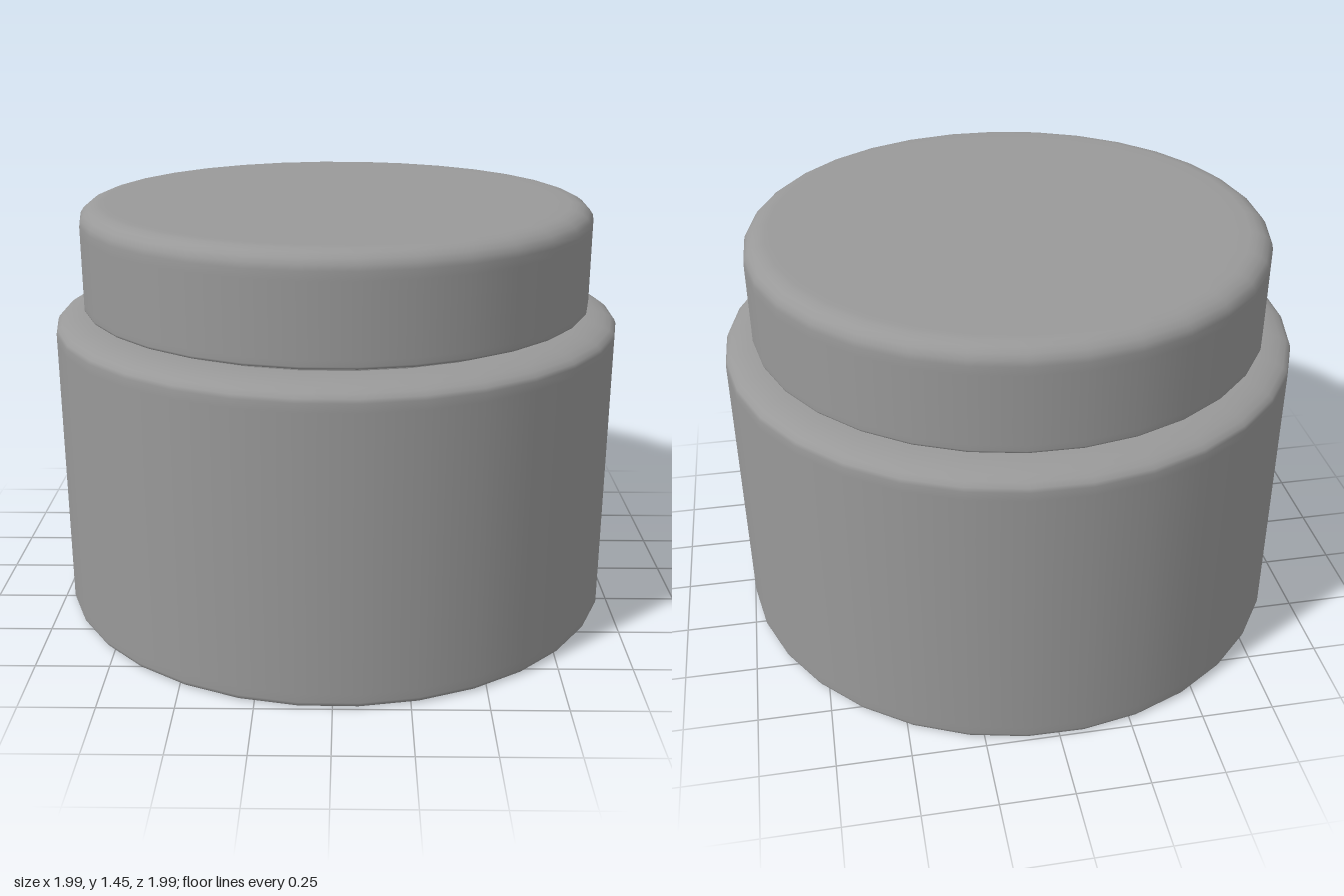
import * as THREE from 'three';

const SIDES = 32;
const PHASE = THREE.MathUtils.degToRad(4.85);

// Points of an elliptical corner around (cx, cy), from angle a0 to a1 in degrees
function corner(cx, cy, rx, ry, a0, a1, steps) {
  const points = [];
  for (let i = 0; i <= steps; i++) {
    const a = THREE.MathUtils.degToRad(a0 + ((a1 - a0) * i) / steps);
    points.push([cx + rx * Math.cos(a), cy + ry * Math.sin(a)]);
  }
  return points;
}

// Turned part: profile runs from the bottom centre, outwards, up and back in
function turned(name, profile, material) {
  const points = profile.map(([r, y]) => new THREE.Vector2(r, y));
  const mesh = new THREE.Mesh(new THREE.LatheGeometry(points, SIDES, PHASE, Math.PI * 2), material);
  mesh.name = name;
  return mesh;
}

export function createModel() {
  const group = new THREE.Group();
  group.name = 'lidded jar';
  const material = new THREE.MeshStandardMaterial({ color: 0x999999 });

  // Wide body with a small base bevel and a soft shoulder
  group.add(turned('jarBody', [
    [0, 0], [0.96, 0],
    ...corner(0.98, 0.02, 0.02, 0.02, -90, 0, 4),
    [1, 0.05], [1, 0.99],
    ...corner(0.86, 1.02, 0.14, 0.05, 0, 90, 6),
    [0.82, 1.07], [0, 1.07],
  ], material));

  // Short neck, seen as a narrow gap under the lid
  group.add(turned('neck', [[0.84, 1.05], [0.84, 1.12]], material));

  // Lid with a rounded top rim
  group.add(turned('lid', [
    [0, 1.09], [0.87, 1.09],
    ...corner(0.89, 1.1, 0.01, 0.01, -90, 0, 3),
    [0.9, 1.12], [0.9, 1.36],
    ...corner(0.82, 1.39, 0.08, 0.06, 0, 90, 5),
    [0.77, 1.45], [0, 1.45],
  ], material));

  return group;
}
